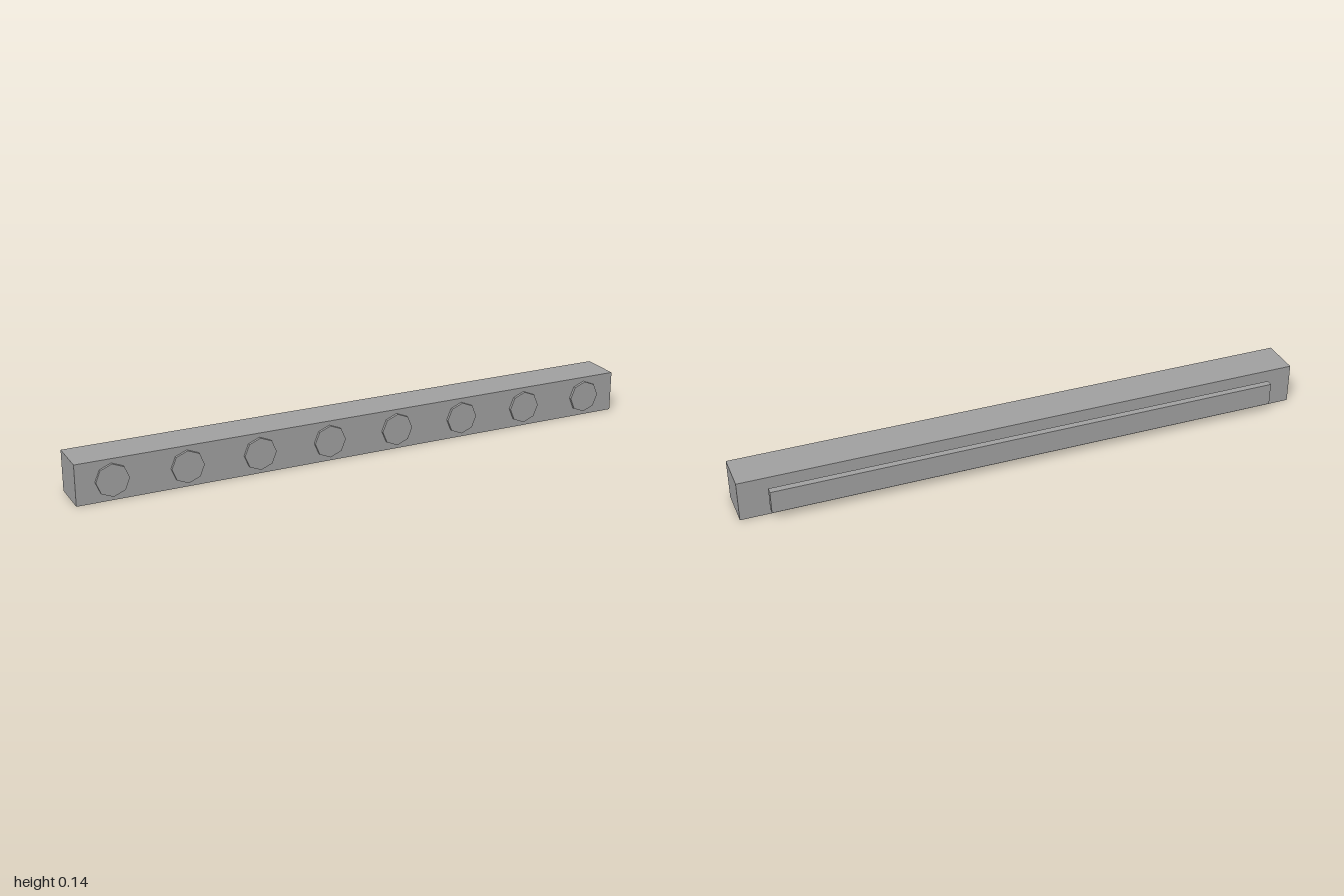
import * as THREE from 'three';

export function createModel() {
  const model = new THREE.Group();
  const grey = new THREE.MeshStandardMaterial({ color: 0xa0a0a0, flatShading: true });
  grey.name = 'grey';

  const add = (name, geometry, x, y, z) => {
    const mesh = new THREE.Mesh(geometry, grey);
    mesh.name = name;
    mesh.position.set(x, y, z);
    model.add(mesh);
  };

  // Long square beam
  add('beam', new THREE.BoxGeometry(2, 0.141, 0.141), 0, 0.0705, 0.0165);

  // Flat rail floating behind the beam
  add('backRail', new THREE.BoxGeometry(1.804, 0.08, 0.024), 0, 0.0705, -0.0835);

  // Row of eight octagonal discs on the front
  const disc = new THREE.CylinderGeometry(0.056, 0.056, 0.0095, 8).rotateX(Math.PI / 2);
  const count = 8, reach = 0.88;
  for (let i = 0; i < count; i++) {
    const x = -reach + (2 * reach * i) / (count - 1);
    add(`disc${i + 1}`, disc, x, 0.0705, 0.0915);
  }

  return model;
}
